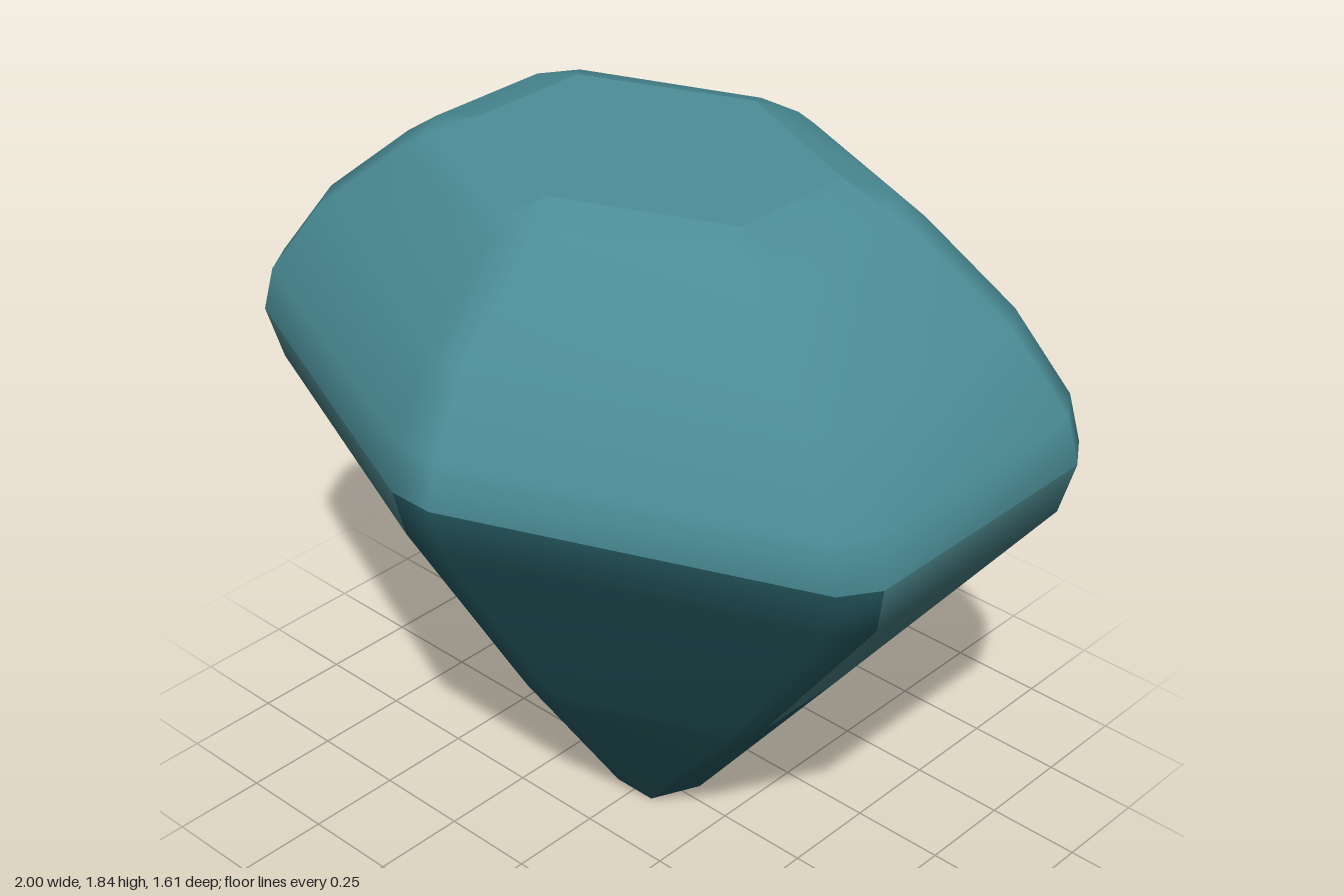
import * as THREE from 'three';

// Levels from top to bottom, one quadrant each: [y, sideX, sideZ, cornerX, cornerZ, frontX, frontZ, sideY]
const LEVELS = [
  [1.84, 0.42, 0.17, 0.42, 0.17, 0, 0.35],
  [1.80, 0.56, 0.17, 0.50, 0.26, 0.06, 0.44],
  [1.75, 0.63, 0.20, 0.57, 0.29, 0.06, 0.50],
  [1.56, 0.84, 0.28, 0.78, 0.37, 0.06, 0.68],
  [1.36, 0.97, 0.34, 0.91, 0.43, 0.06, 0.78],
  [1.24, 1.00, 0.35, 0.94, 0.44, 0.06, 0.805],
  [1.11, 0.97, 0.33, 0.90, 0.42, 0.06, 0.77],
  [0.53, 0.528, 0.155, 0.486, 0.253, 0.06, 0.43],
  [0.48, 0.49, 0.14, 0.45, 0.24, 0.06, 0.40],
  [0.00, 0.16, 0, 0.06, 0.08, 0.06, 0.08, 0.05],
];
const GIRDLE = 5;
const PANEL_END = 8;
const SIDES = 12;

// Mirror a quadrant into a bevelled hexagon of twelve points
function ring([y, ax, az, bx, bz, cx, cz, ay = y]) {
  const quadrant = [[ax, ay, az], [bx, y, bz], [cx, y, cz]];
  const points = [];
  for (const [sx, sz, flip] of [[1, 1, 0], [-1, 1, 1], [-1, -1, 0], [1, -1, 1]]) {
    const q = flip ? [...quadrant].reverse() : quadrant;
    for (const p of q) points.push(new THREE.Vector3(p[0] * sx, p[1], p[2] * sz));
  }
  return points;
}

export function createModel() {
  const materials = {
    crown: new THREE.MeshStandardMaterial({ color: 0x4b8d97 }),
    pavilion: new THREE.MeshStandardMaterial({ color: 0x22535a }),
    panels: new THREE.MeshStandardMaterial({ color: 0x42757a }),
  };
  materials.crown.name = 'crownTeal';
  materials.pavilion.name = 'deepTeal';
  materials.panels.name = 'greyTeal';

  const points = LEVELS.flatMap(ring);
  const parts = { crown: [], pavilion: [], panels: [] };
  const add = (p) => points.push(p) - 1;

  // Facets between neighbouring levels
  for (let k = 0; k < LEVELS.length - 1; k++) {
    for (let i = 0; i < SIDES; i++) {
      const j = (i + 1) % SIDES;
      const a = k * SIDES + i, b = k * SIDES + j;
      const c = a + SIDES, d = b + SIDES;
      const isPanel = i % 4 === 3 && k >= GIRDLE && k < PANEL_END;
      if (isPanel && k === PANEL_END - 1) {
        // Clipped lower corners of each light panel
        const c2 = add(points[c].clone().lerp(points[d], 0.1));
        const d2 = add(points[d].clone().lerp(points[c], 0.1));
        parts.panels.push(a, b, d2, a, d2, c2);
        parts.pavilion.push(a, c2, c, b, d, d2);
        continue;
      }
      const part = k < GIRDLE ? parts.crown : isPanel ? parts.panels : parts.pavilion;
      part.push(a, b, d, a, d, c);
    }
  }

  // Flat table on top (own vertices for a crisp edge) and the small tip below
  const table = add(new THREE.Vector3(0, LEVELS[0][0], 0));
  const rim = ring(LEVELS[0]).map(add);
  const tip = add(new THREE.Vector3(0, 0, 0));
  const last = (LEVELS.length - 1) * SIDES;
  for (let i = 0; i < SIDES; i++) {
    const j = (i + 1) % SIDES;
    parts.crown.push(table, rim[j], rim[i]);
    parts.pavilion.push(tip, last + i, last + j);
  }

  // Shared area-weighted normals keep broad facets flat and bevels soft
  const whole = new THREE.BufferGeometry().setFromPoints(points);
  whole.setIndex(Object.values(parts).flat());
  whole.computeVertexNormals();

  const group = new THREE.Group();
  group.name = 'gem';
  for (const [name, index] of Object.entries(parts)) {
    const geometry = new THREE.BufferGeometry();
    geometry.setAttribute('position', whole.getAttribute('position'));
    geometry.setAttribute('normal', whole.getAttribute('normal'));
    geometry.setIndex(index);
    const mesh = new THREE.Mesh(geometry, materials[name]);
    mesh.name = name;
    group.add(mesh);
  }
  return group;
}
